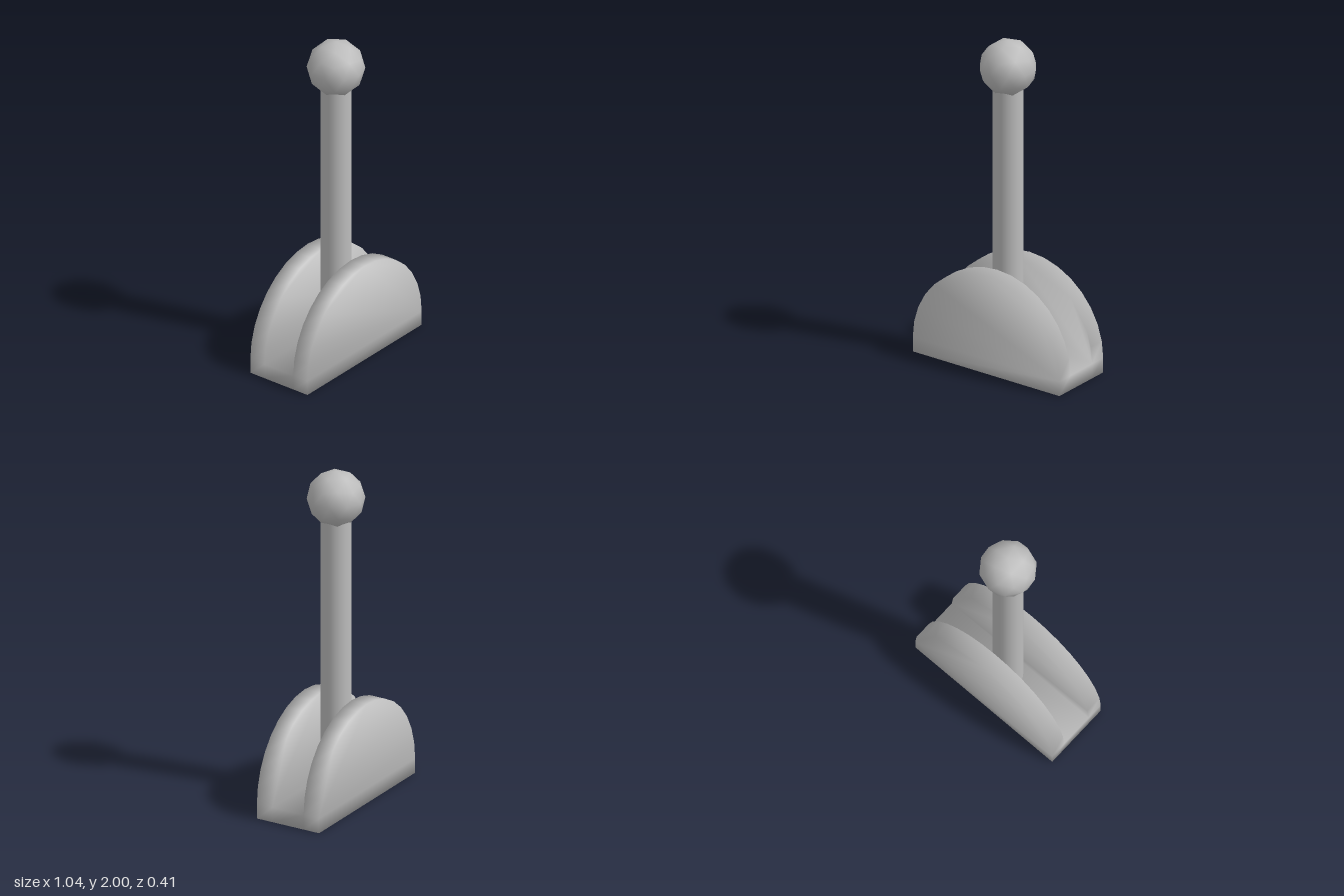
import * as THREE from 'three';
import { mergeVertices } from 'three/addons/utils/BufferGeometryUtils.js';

const R = 0.52;       // half width of the base and radius of the cheeks
const FLOOR = 0.09;   // height of the slab
const OUT = 0.207;    // outer half depth
const IN = 0.104;     // inner half depth of the slot

// Smooth normals, each face weighted by its corner angle
function smooth(positions) {
  let geo = new THREE.BufferGeometry();
  geo.setAttribute('position', new THREE.Float32BufferAttribute(positions, 3));
  geo = mergeVertices(geo, 1e-4);
  const pos = geo.attributes.position;
  const at = (i) => new THREE.Vector3().fromBufferAttribute(pos, i);
  const normals = Array.from({ length: pos.count }, () => new THREE.Vector3());
  const idx = geo.index.array;
  for (let t = 0; t < idx.length; t += 3) {
    const ids = [idx[t], idx[t + 1], idx[t + 2]];
    const p = ids.map(at);
    const n = p[1].clone().sub(p[0]).cross(p[2].clone().sub(p[0])).normalize();
    for (let k = 0; k < 3; k++) {
      const a = p[(k + 1) % 3].clone().sub(p[k]);
      const b = p[(k + 2) % 3].clone().sub(p[k]);
      normals[ids[k]].addScaledVector(n, a.angleTo(b));
    }
  }
  const flat = normals.flatMap((n) => n.normalize().toArray());
  geo.setAttribute('normal', new THREE.Float32BufferAttribute(flat, 3));
  return geo;
}

// Slotted base: a slab with two half-round cheeks in one smooth skin
function baseGeometry() {
  const out = [];
  const quad = (a, b, c, d) => out.push(...a, ...b, ...c, ...a, ...c, ...d);

  // Cheeks, left open where they meet the slab
  const arc = [];
  for (let i = 0; i <= 16; i++) {
    const a = (i / 16) * Math.PI;
    arc.push(new THREE.Vector2(R * Math.cos(a), FLOOR + R * Math.sin(a)));
  }
  for (const z of [-OUT, IN]) {
    const cheek = new THREE.ExtrudeGeometry(new THREE.Shape(arc), {
      depth: OUT - IN, bevelEnabled: false,
    });
    cheek.translate(0, 0, z);
    const solid = cheek.index ? cheek.toNonIndexed() : cheek;
    const p = solid.attributes.position.array;
    for (let i = 0; i < p.length; i += 9) {
      const isUnderside = Math.max(p[i + 1], p[i + 4], p[i + 7]) < FLOOR + 1e-4;
      if (!isUnderside) out.push(...p.slice(i, i + 9));
    }
  }

  // Slab: slot floor, front and back, then ends and underside in strips
  quad([-R, FLOOR, IN], [R, FLOOR, IN], [R, FLOOR, -IN], [-R, FLOOR, -IN]);
  quad([-R, 0, OUT], [R, 0, OUT], [R, FLOOR, OUT], [-R, FLOOR, OUT]);
  quad([R, 0, -OUT], [-R, 0, -OUT], [-R, FLOOR, -OUT], [R, FLOOR, -OUT]);
  const zs = [-OUT, -IN, IN, OUT];
  for (let i = 0; i < 3; i++) {
    const a = zs[i], b = zs[i + 1];
    quad([R, 0, b], [R, 0, a], [R, FLOOR, a], [R, FLOOR, b]);
    quad([-R, 0, a], [-R, 0, b], [-R, FLOOR, b], [-R, FLOOR, a]);
    quad([-R, 0, a], [R, 0, a], [R, 0, b], [-R, 0, b]);
  }
  return smooth(out);
}

export function createModel() {
  const group = new THREE.Group();
  group.name = 'lever';
  const gray = new THREE.MeshStandardMaterial({ color: 0xbcbcbc });
  gray.name = 'gray';
  const add = (name, geo) => {
    const mesh = new THREE.Mesh(geo, gray);
    mesh.name = name;
    group.add(mesh);
    return mesh;
  };

  add('base', baseGeometry());

  // Shaft standing on the slot floor
  const bottom = FLOOR, top = 1.72;
  add('shaft', new THREE.CylinderGeometry(0.087, 0.087, top - bottom, 32))
    .position.y = (top + bottom) / 2;

  // Low-poly round knob, turned so that a corner points up
  const knob = new THREE.IcosahedronGeometry(0.167, 1);
  knob.rotateZ(-Math.atan(2 / (1 + Math.sqrt(5))));
  add('knob', knob).position.y = 1.833;

  return group;
}
